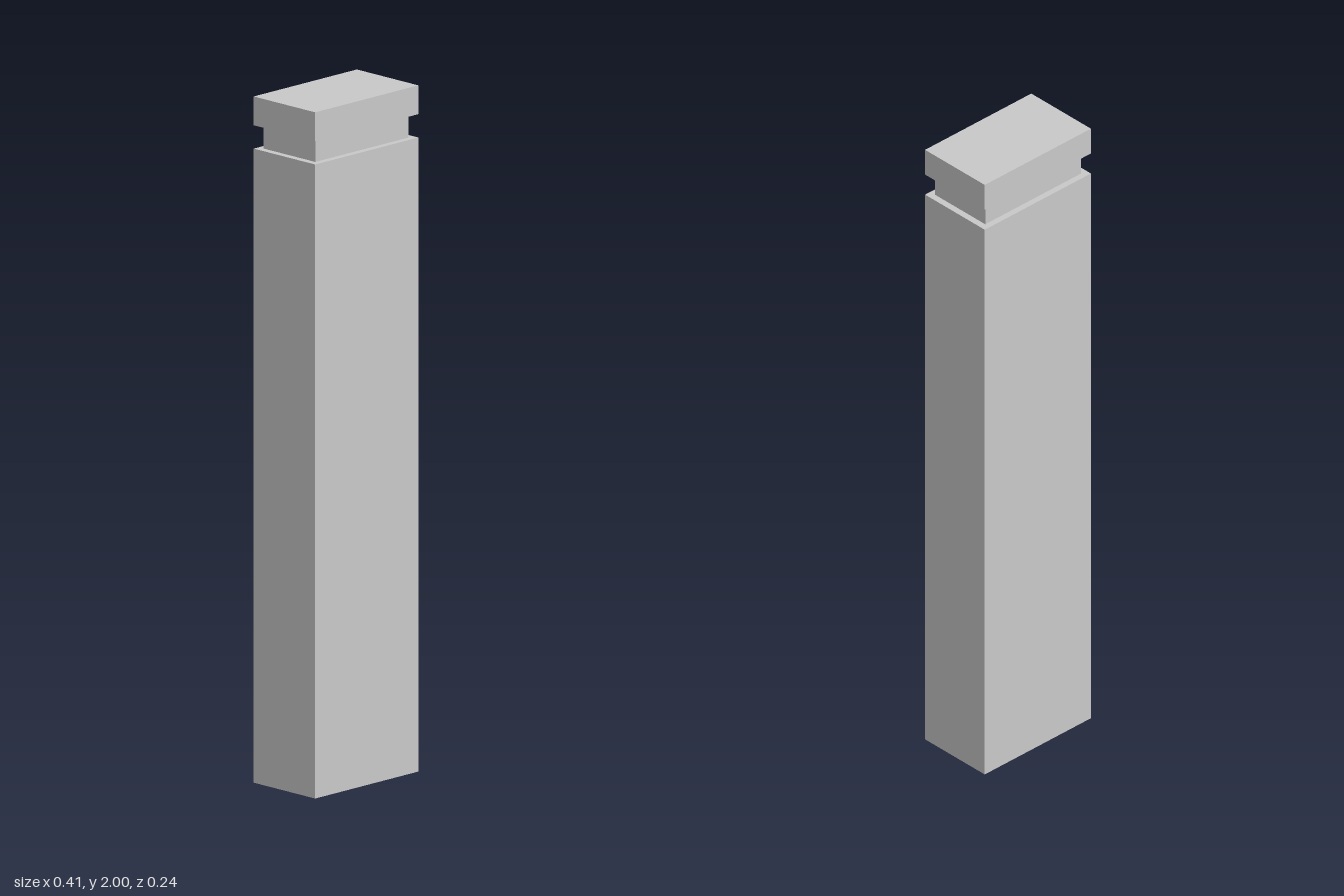
import * as THREE from 'three';

export function createModel() {
  const group = new THREE.Group();
  const material = new THREE.MeshStandardMaterial({ color: 0xcccccc, flatShading: true });

  // Stacked block spanning bottom to top
  const addBlock = (name, width, depth, bottom, top) => {
    const mesh = new THREE.Mesh(new THREE.BoxGeometry(width, top - bottom, depth), material);
    mesh.name = name;
    mesh.position.y = (bottom + top) / 2;
    group.add(mesh);
  };

  addBlock('shaft', 0.412, 0.244, 0, 1.848);
  // Recessed band between shaft and cap
  addBlock('neck', 0.372, 0.206, 1.848, 1.916);
  addBlock('cap', 0.412, 0.244, 1.916, 2);

  group.name = 'pillar';
  return group;
}
